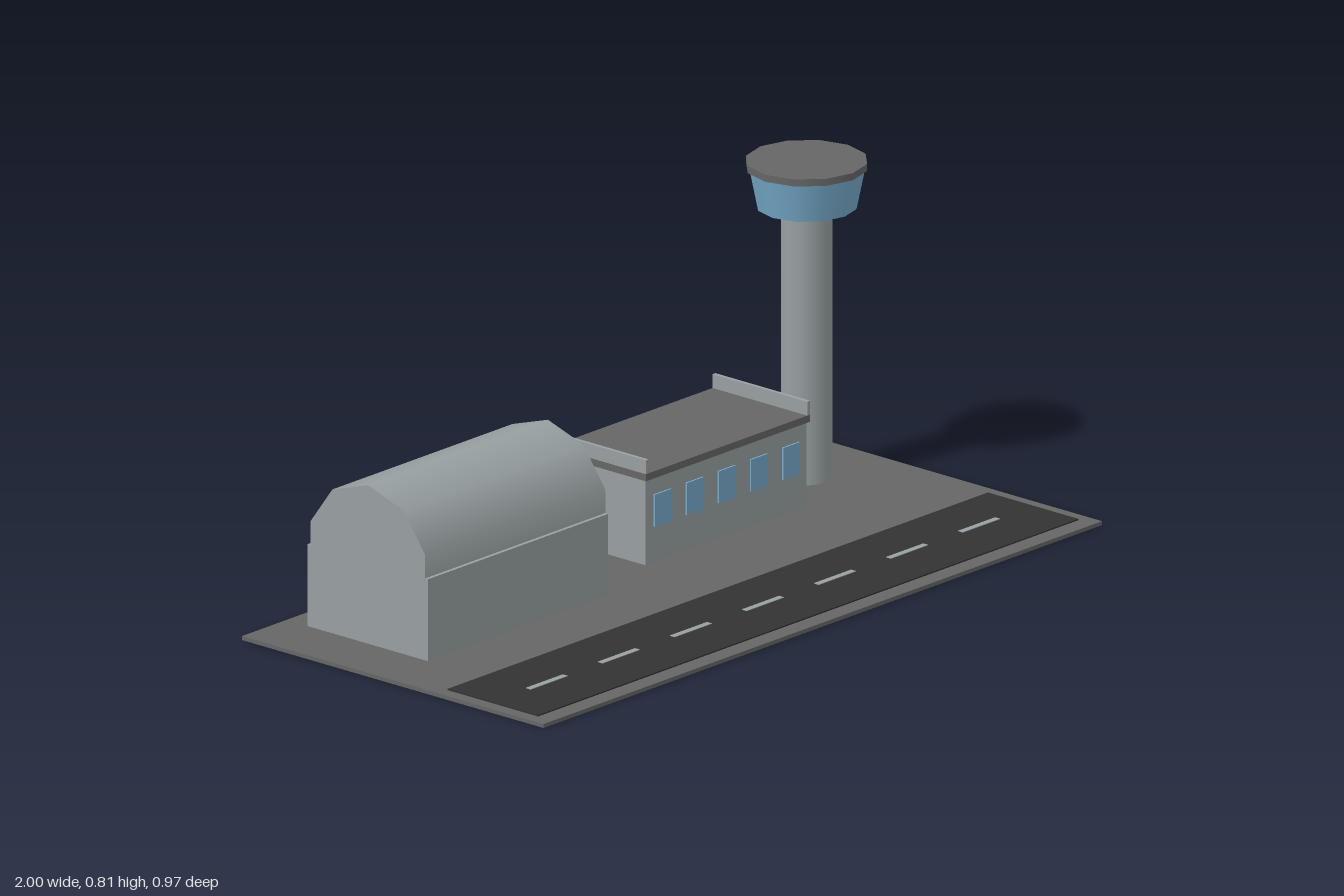
import * as THREE from 'three';

const paint = (name, color) => {
  const m = new THREE.MeshStandardMaterial({ color });
  m.name = name;
  return m;
};

export function createModel() {
  const concrete = paint('concreteGrey', 0x666666);
  const asphalt = paint('asphalt', 0x333333);
  const wall = paint('wallGrey', 0x98a0a1);
  const glass = paint('glassBlue', 0x76abcb);

  const model = new THREE.Group();
  model.name = 'airfield';

  const group = (name) => {
    const g = new THREE.Group();
    g.name = name;
    model.add(g);
    return g;
  };
  const add = (parent, name, geometry, material, x, y, z) => {
    const mesh = new THREE.Mesh(geometry, material);
    mesh.name = name;
    mesh.position.set(x, y, z);
    parent.add(mesh);
    return mesh;
  };
  // Box and drum are placed by the height of their underside
  const box = (parent, name, mat, w, h, d, x, y, z) =>
    add(parent, name, new THREE.BoxGeometry(w, h, d), mat, x, y + h / 2, z);
  const drum = (parent, name, mat, rTop, rBottom, h, x, y, z) =>
    add(parent, name, new THREE.CylinderGeometry(rTop, rBottom, h, 12), mat, x, y + h / 2, z);

  const deck = 0.01;
  box(model, 'ground', concrete, 2, deck, 0.968, 0, 0, 0);

  // Runway with a dashed centre line
  const runway = group('runway');
  box(runway, 'runwayStrip', asphalt, 1.935, 0.0035, 0.29, 0, deck, 0.292);
  for (let i = -3; i <= 3; i++) {
    box(runway, 'centreDash', wall, 0.133, 0.0015, 0.016, i * 0.258, 0.0135, 0.292);
  }

  // Hangar: box walls under a faceted barrel vault
  const hangar = group('hangar');
  const [hx, hz, hLength, hRadius, eaves] = [-0.518, -0.223, 0.645, 0.1935, 0.217];
  box(hangar, 'hangarWalls', wall, hLength, eaves - deck, hRadius * 2, hx, deck, hz);
  const step = Math.PI / 10;
  const vault = new THREE.CylinderGeometry(
    hRadius, hRadius, hLength, 6, 1, false, -Math.PI / 2 - 6 * step, 12 * step);
  vault.rotateZ(Math.PI / 2); // axis along x; start angle is centred on +y after the turn
  vault.rotateX(0);
  const roof = add(hangar, 'hangarVault', vault, wall, hx, eaves, hz);
  // Turn the arc so that its middle points straight up
  vault.computeBoundingBox();
  if (Math.abs(vault.boundingBox.max.y - hRadius) > 1e-4) roof.rotation.x = Math.PI;

  // Terminal: walls, roof slab, end parapets and windows front and back
  const terminal = group('terminal');
  const [tx, tz] = [0.319, -0.258];
  box(terminal, 'terminalWalls', wall, 0.577, 0.215, 0.291, tx, deck, tz);
  box(terminal, 'roofSlab', concrete, 0.588, 0.018, 0.304, tx, 0.225, tz);
  for (const side of [-1, 1]) {
    box(terminal, 'parapet', wall, 0.01, 0.035, 0.304, tx + side * 0.289, 0.243, tz);
    for (let i = -2; i <= 2; i++) {
      box(terminal, 'window', glass, 0.06, 0.081, 0.006, tx + i * 0.115, 0.101, tz + side * 0.147);
    }
  }

  // Control tower: shaft, flared glass cab and cap
  const tower = group('controlTower');
  const [cx, cz] = [0.77, -0.258];
  drum(tower, 'shaft', wall, 0.063, 0.063, 0.686, cx, deck, cz);
  drum(tower, 'cab', glass, 0.142, 0.122, 0.098, cx, 0.696, cz);
  drum(tower, 'cabRoof', concrete, 0.148, 0.148, 0.018, cx, 0.794, cz);

  return model;
}
